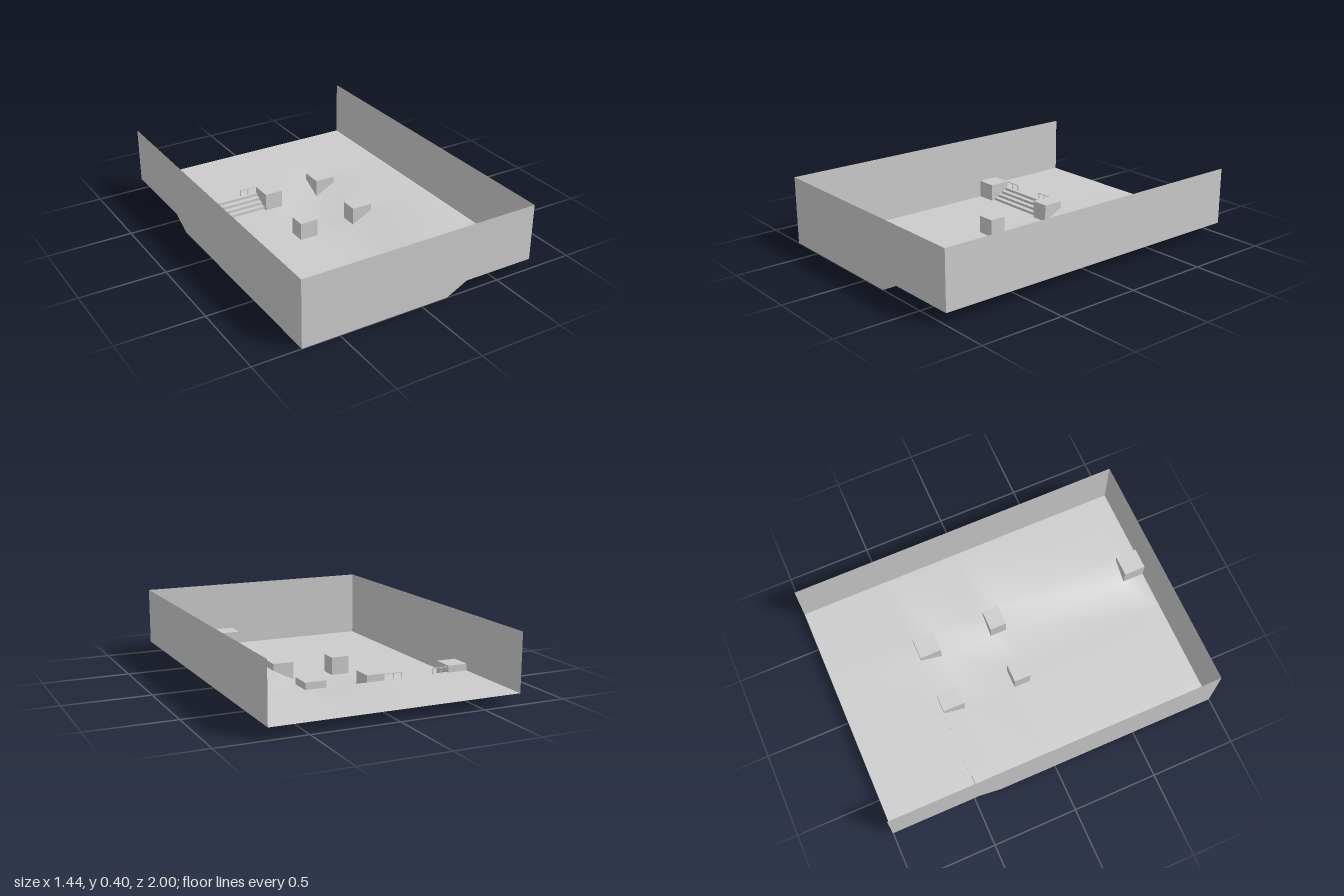
import * as THREE from 'three';

const material = new THREE.MeshStandardMaterial({ color: 0xcccccc, side: THREE.DoubleSide });
const HIGH = 0.065, WALL_TOP = 0.4, BLOCK_TOP = 0.105;
// grid lines of the floor: blocks and stairs fill some of its cells
const xs = [-0.72, -0.6, -0.19, -0.08, 0.165, 0.29, 0.72];
const zs = [-1, -0.47, -0.34, -0.02, 0.08, 0.87, 1];
const blockCells = [[0, 1], [2, 1], [4, 1], [2, 3], [4, 3], [4, 5]];
const stairCell = [1, 1];

// sunken floor that ramps up towards +x and towards the back
const ramp = (v, a, b) => THREE.MathUtils.clamp((v - a) / (b - a), 0, 1);
const floorY = (x, z) => HIGH * Math.max(ramp(x, 0.165, 0.29), ramp(-z, 0.34, 0.47));

function add(parent, name, geometry) {
  const mesh = new THREE.Mesh(geometry, material);
  mesh.name = name;
  parent.add(mesh);
  return mesh;
}

// indexed grid with some cells left open
function buildFloor() {
  const positions = [], index = [];
  for (const z of zs) for (const x of xs) positions.push(x, floorY(x, z), z);
  const n = xs.length;
  for (let j = 0; j < zs.length - 1; j++) {
    for (let i = 0; i < n - 1; i++) {
      if ([...blockCells, stairCell].some(([a, b]) => a === i && b === j)) continue;
      const a = j * n + i, b = a + 1, c = a + n, d = c + 1;
      index.push(a, c, b, b, c, d);
    }
  }
  const g = new THREE.BufferGeometry();
  g.setAttribute('position', new THREE.Float32BufferAttribute(positions, 3));
  g.setIndex(index);
  g.computeVertexNormals();
  return g;
}

// upright sheet at constant z, from a bottom outline of [x, y] up to top
function panelAtZ(z, bottom, top) {
  const last = bottom[bottom.length - 1];
  const pts = [...bottom, [last[0], top], [bottom[0][0], top]];
  return new THREE.ShapeGeometry(new THREE.Shape(pts.map(p => new THREE.Vector2(...p)))).translate(0, 0, z);
}

// upright sheet at constant x, from a bottom outline of [z, y] up to top
function panelAtX(x, bottom, top) {
  return panelAtZ(0, bottom.map(([z, y]) => [-z, y]), top).rotateY(Math.PI / 2).translate(x, 0, 0);
}

// stair profile as [z, y], from the sunken floor to the upper level
function stairProfile() {
  const risers = [-0.363, -0.393, -0.423, -0.453], pts = [[zs[2], 0]];
  risers.forEach((z, k) => pts.push([z, HIGH * k / 4], [z, HIGH * (k + 1) / 4]));
  pts.push([zs[1], HIGH]);
  return pts;
}

export function createModel() {
  const model = new THREE.Group();
  const alongX = z => xs.map(x => [x, floorY(x, z)]);
  const alongZ = x => [...zs].reverse().map(z => [z, floorY(x, z)]);
  const steps = stairProfile();

  add(model, 'floor', buildFloor());
  add(model, 'frontWall', panelAtZ(1, alongX(1), WALL_TOP));
  add(model, 'leftWall', panelAtX(0.72, alongZ(0.72), WALL_TOP));
  add(model, 'rightWall', panelAtX(-0.72, alongZ(-0.72), WALL_TOP));

  // hollow blocks, open below, with skirts that follow the floor
  for (const [i, j] of blockCells) {
    const block = new THREE.Group();
    block.name = 'block';
    model.add(block);
    const [x0, x1, z0, z1] = [xs[i], xs[i + 1], zs[j], zs[j + 1]];
    add(block, 'blockTop', new THREE.PlaneGeometry(x1 - x0, z1 - z0).rotateX(-Math.PI / 2)
      .translate((x0 + x1) / 2, BLOCK_TOP, (z0 + z1) / 2));
    for (const z of [z0, z1]) {
      if (z === 1) continue; // closed by the front wall
      add(block, 'blockSide', panelAtZ(z, [[x0, floorY(x0, z)], [x1, floorY(x1, z)]], BLOCK_TOP));
    }
    for (const x of [x0, x1]) {
      if (x === -0.72) continue; // closed by the side wall
      const besideStairs = j === 1 && (x === xs[1] || x === xs[2]);
      const bottom = besideStairs ? steps : [[z1, floorY(x, z1)], [z0, floorY(x, z0)]];
      add(block, 'blockSide', panelAtX(x, bottom, BLOCK_TOP));
    }
  }

  // stairs: one strip of treads and risers between two blocks
  const stairs = new THREE.Group();
  stairs.name = 'stairs';
  model.add(stairs);
  const width = xs[2] - xs[1], midX = (xs[1] + xs[2]) / 2;
  for (let k = 0; k < steps.length - 1; k++) {
    const [z0, y0] = steps[k], [z1, y1] = steps[k + 1];
    const isRiser = z0 === z1;
    const g = new THREE.PlaneGeometry(width, isRiser ? y1 - y0 : z0 - z1);
    if (!isRiser) g.rotateX(-Math.PI / 2);
    add(stairs, isRiser ? 'riser' : 'tread', g.translate(midX, (y0 + y1) / 2, (z0 + z1) / 2));
  }

  // short railings at the top of the stairs, mirrored about their middle
  const t = 0.004, railLength = 0.105, railTop = 0.103;
  for (const side of [-1, 1]) {
    const rail = new THREE.Group();
    rail.name = 'railing';
    rail.position.set(midX + side * width / 2, 0, -0.474);
    model.add(rail);
    add(rail, 'handrail', new THREE.BoxGeometry(railLength, t, t))
      .position.set(-side * railLength / 2, railTop - t / 2, 0);
    for (const d of [railLength / 2, railLength - t / 2]) {
      add(rail, 'post', new THREE.BoxGeometry(t, railTop - HIGH, t))
        .position.set(-side * d, (railTop + HIGH) / 2, 0);
    }
  }
  return model;
}
